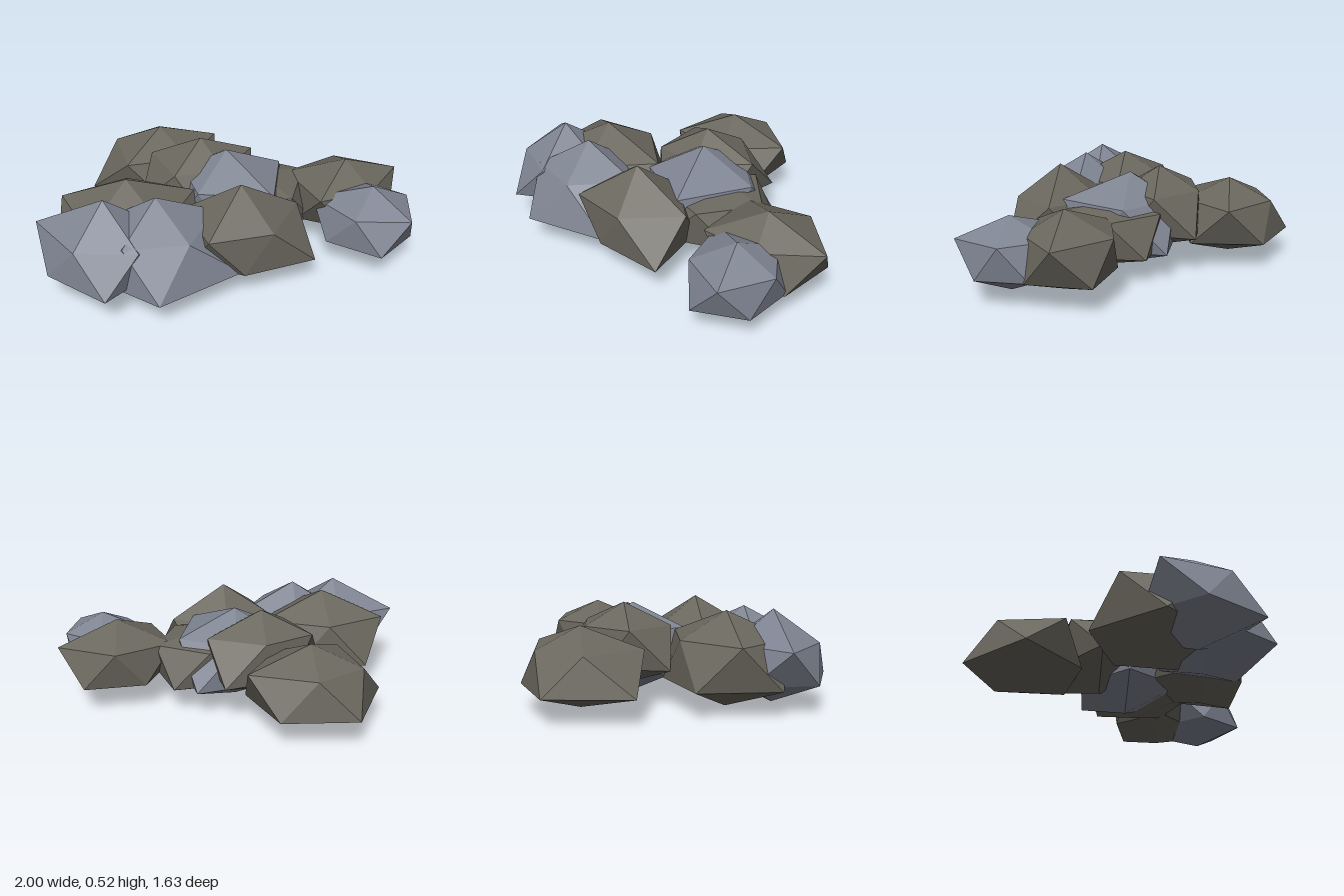
import * as THREE from 'three';

const blueStone = new THREE.MeshStandardMaterial({ color: 0x7f8492, flatShading: true });
blueStone.name = 'blue grey stone';
const brownStone = new THREE.MeshStandardMaterial({ color: 0x6a675e, flatShading: true });
brownStone.name = 'brown grey stone';

// Irregular flattened icosahedron standing on a point.
// heights: bottom tip, lower ring, upper ring, top tip.
// radii: ten spokes 36 degrees apart, alternating upper ring and lower ring.
function stone(name, material, x, z, heights, radii) {
  const [bottomY, lowY, highY, topY] = heights;
  const ring = radii.map((r, k) => {
    const a = (k * Math.PI) / 5;
    return [r * Math.cos(a), k % 2 ? lowY : highY, r * Math.sin(a)];
  });
  const at = (k) => ring[(k + 10) % 10];
  const top = [0, topY, 0];
  const bottom = [0, bottomY, 0];
  const corners = [];
  for (let k = 0; k < 10; k += 2) {
    corners.push(top, at(k + 2), at(k)); // cap
    corners.push(at(k), at(k + 2), at(k + 1)); // side, pointing down
    corners.push(at(k - 1), at(k), at(k + 1)); // side, pointing up
    corners.push(bottom, at(k - 1), at(k + 1)); // underside
  }
  const geometry = new THREE.BufferGeometry();
  geometry.setAttribute('position', new THREE.Float32BufferAttribute(corners.flat(), 3));
  geometry.computeVertexNormals();
  const mesh = new THREE.Mesh(geometry, material);
  mesh.name = name;
  mesh.position.set(x, 0, z);
  return mesh;
}

export function createModel() {
  const pile = new THREE.Group();
  pile.name = 'rockPile';
  pile.add(
    // back and middle
    stone('backStone', brownStone, -0.12, -0.48, [0.03, 0.14, 0.34, 0.45],
      [0.35, 0.34, 0.26, 0.3, 0.33, 0.42, 0.27, 0.35, 0.24, 0.32]),
    stone('middleStone', brownStone, -0.02, -0.095, [0.08, 0.2, 0.41, 0.53],
      [0.31, 0.29, 0.2, 0.29, 0.26, 0.36, 0.28, 0.24, 0.23, 0.37]),
    stone('middleBlueStone', blueStone, 0.07, 0.055, [0.005, 0.14, 0.375, 0.51],
      [0.325, 0.32, 0.37, 0.3, 0.29, 0.3, 0.25, 0.26, 0.26, 0.385]),
    stone('lowMiddleStone', brownStone, 0.21, 0.12, [0.035, 0.14, 0.335, 0.39],
      [0.3, 0.32, 0.29, 0.34, 0.28, 0.36, 0.26, 0.26, 0.26, 0.33]),
    // left side of the front
    stone('leftStone', brownStone, 0.67, 0.3, [0.05, 0.14, 0.335, 0.45],
      [0.33, 0.26, 0.2, 0.22, 0.31, 0.28, 0.32, 0.26, 0.265, 0.3]),
    stone('leftBlueStone', blueStone, 0.68, 0.565, [0.04, 0.14, 0.315, 0.415],
      [0.22, 0.22, 0.26, 0.26, 0.22, 0.26, 0.31, 0.24, 0.24, 0.24]),
    // front
    stone('frontStone', brownStone, -0.03, 0.46, [0.04, 0.14, 0.35, 0.525],
      [0.32, 0.39, 0.24, 0.23, 0.31, 0.28, 0.3, 0.28, 0.24, 0.3]),
    // right side
    stone('rightStone', brownStone, -0.53, 0.16, [0.005, 0.14, 0.37, 0.51],
      [0.37, 0.38, 0.3, 0.32, 0.32, 0.38, 0.355, 0.36, 0.27, 0.33]),
    stone('rightFrontBlueStone', blueStone, -0.455, 0.39, [0.02, 0.14, 0.365, 0.51],
      [0.33, 0.44, 0.26, 0.38, 0.28, 0.36, 0.25, 0.26, 0.2, 0.3]),
    stone('rightOuterBlueStone', blueStone, -0.7, 0.33, [0.03, 0.16, 0.35, 0.52],
      [0.24, 0.27, 0.28, 0.335, 0.24, 0.3, 0.36, 0.29, 0.24, 0.27]),
  );
  return pile;
}
